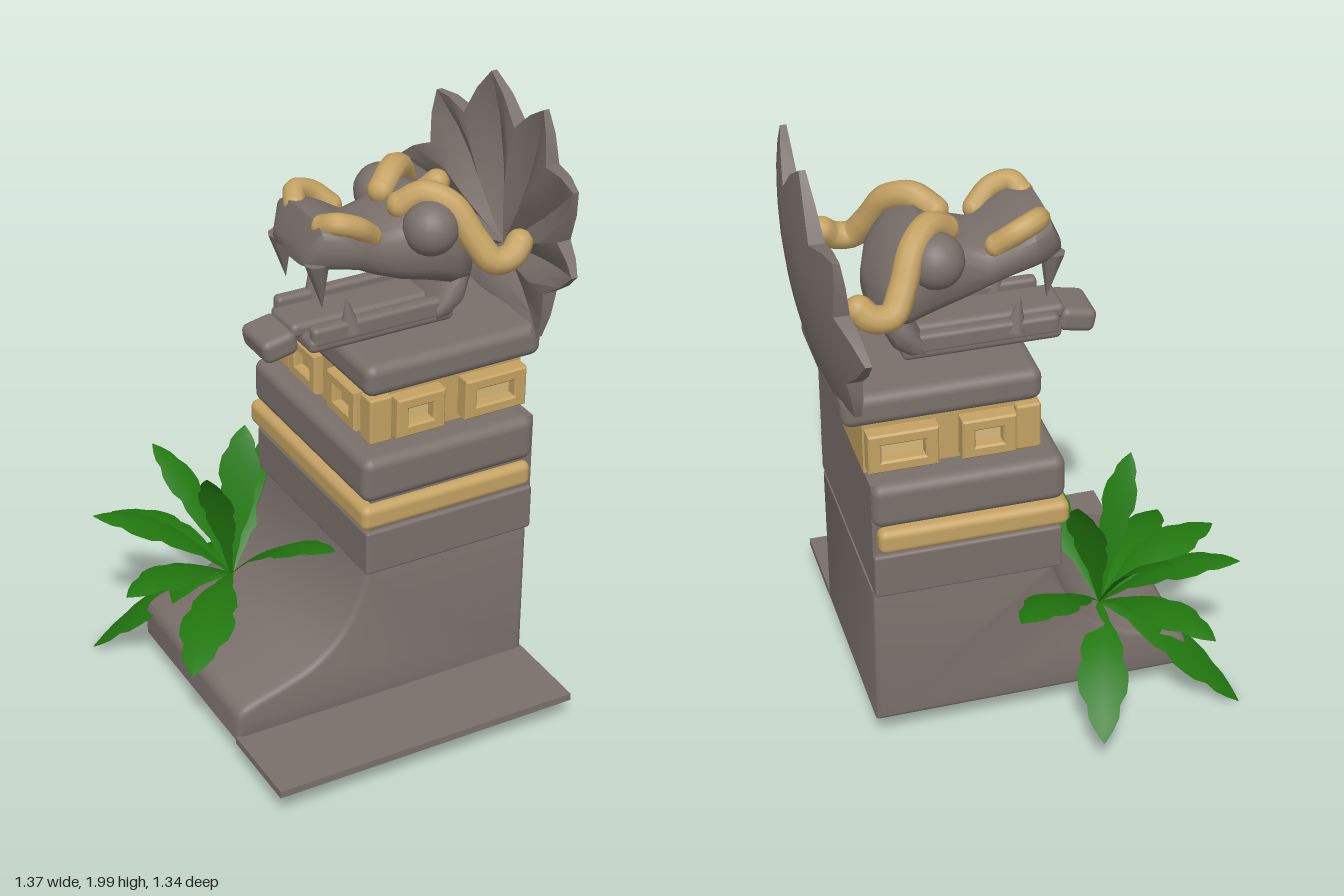
import * as THREE from 'three';
import { toCreasedNormals } from 'three/addons/utils/BufferGeometryUtils.js';
import { RoundedBoxGeometry } from 'three/addons/geometries/RoundedBoxGeometry.js';

const mat = (name, color) => {
  const m = new THREE.MeshStandardMaterial({ color, side: THREE.DoubleSide });
  m.name = name;
  return m;
};

export function createModel() {
  const stone = mat('stone', 0x7a706b);
  const gold = mat('gold', 0xc4a263);
  const paleGold = mat('paleGold', 0xd6b878);
  const green = mat('leafGreen', 0x22780f);
  const model = new THREE.Group();
  model.name = 'serpentStatue';
  const MID = 0.02; // z of the statue's own mirror plane

  const add = (name, geo, material, parent = model) => {
    const mesh = new THREE.Mesh(geo, material);
    mesh.name = name;
    parent.add(mesh);
    return mesh;
  };
  // Box given by its limits, with rounded edges when r > 0
  const block = (name, material, [x0, x1], [y0, y1], [z0, z1], r = 0, parent = model) => {
    const s = [x1 - x0, y1 - y0, z1 - z0];
    const geo = r ? new RoundedBoxGeometry(...s, 3, r) : new THREE.BoxGeometry(...s);
    const m = add(name, geo, material, parent);
    m.position.set((x0 + x1) / 2, (y0 + y1) / 2, (z0 + z1) / 2);
    return m;
  };
  const indexed = (pos, idx, crease) => {
    const g = new THREE.BufferGeometry();
    g.setAttribute('position', new THREE.Float32BufferAttribute(pos, 3));
    g.setIndex(idx);
    g.computeVertexNormals();
    return crease ? toCreasedNormals(g, crease) : g;
  };
  // Skin over rounded sections along x: [x, yBottom, yTop, halfWidth]
  const loft = (stations, n = 20) => {
    const a = stations[0], b = stations[stations.length - 1];
    const end = s => [s[0], (s[1] + s[2]) / 2, (s[1] + s[2]) / 2, 0];
    const all = [end(a), ...stations, end(b)], pos = [], idx = [];
    const soft = v => Math.sign(v) * Math.abs(v) ** 0.65;
    all.forEach(([x, y0, y1, w], i) => {
      for (let j = 0; j < n; j++) {
        const t = j / n * Math.PI * 2;
        pos.push(x, (y0 + y1) / 2 + soft(Math.sin(t)) * (y1 - y0) / 2, soft(Math.cos(t)) * w + MID);
        if (i === all.length - 1) continue;
        const p = i * n + j, q = i * n + (j + 1) % n;
        idx.push(p, p + n, q, q, p + n, q + n);
      }
    });
    return indexed(pos, idx, 0.9);
  };
  const path = pts => new THREE.CatmullRomCurve3(pts.map(p => new THREE.Vector3(...p)));

  // Sweeping foot of the pedestal
  const foot = new THREE.Shape();
  foot.moveTo(0.54, 0.11);
  foot.lineTo(0.54, 0.63);
  foot.lineTo(-0.05, 0.63);
  foot.bezierCurveTo(-0.07, 0.52, -0.12, 0.41, -0.2, 0.35);
  foot.bezierCurveTo(-0.28, 0.28, -0.4, 0.27, -0.48, 0.235);
  foot.quadraticCurveTo(-0.515, 0.22, -0.515, 0.18);
  foot.lineTo(-0.515, 0.11);
  const footGeo = new THREE.ExtrudeGeometry(foot, {
    depth: 0.67, curveSegments: 10, bevelThickness: 0.02, bevelSize: 0.02, bevelOffset: -0.02, bevelSegments: 2
  });
  footGeo.translate(0, 0, -0.32);
  add('pedestalFoot', toCreasedNormals(footGeo, 0.8), stone);
  block('groundSlab', stone, [-0.52, 0.54], [0.105, 0.13], [0.36, 0.67]);

  // Stacked tiers
  block('tierCore', stone, [-0.05, 0.535], [0.63, 1.03], [-0.34, 0.38]);
  block('lowerTier', stone, [-0.07, 0.535], [0.62, 0.775], [-0.36, 0.395], 0.01);
  block('goldBand', gold, [-0.09, 0.52], [0.79, 0.875], [-0.38, 0.41], 0.025);
  block('middleTier', stone, [-0.08, 0.535], [0.88, 1.035], [-0.37, 0.4], 0.035);
  block('goldTier', gold, [0, 0.537], [1.03, 1.21], [-0.26, 0.29]);
  block('capTier', stone, [-0.03, 0.6], [1.2, 1.31], [-0.28, 0.32], 0.035);

  // Raised window frames on three sides of the gold tier
  const windowFrame = (x, z, w, turn) => {
    const g = new THREE.Group();
    g.name = 'windowFrame';
    const s = new THREE.Shape();
    const rect = (p, a, b) => p.moveTo(-a, -b).lineTo(a, -b).lineTo(a, b).lineTo(-a, b).closePath();
    rect(s, w / 2, 0.062);
    const hole = new THREE.Path();
    rect(hole, w / 2 - 0.03, 0.035);
    s.holes.push(hole);
    add('frame', new THREE.ExtrudeGeometry(s, { depth: 0.045, bevelSize: 0.006, bevelThickness: 0.006, bevelSegments: 1 }), gold, g);
    block('panel', paleGold, [-w / 2 + 0.02, w / 2 - 0.02], [-0.045, 0.045], [0, 0.012], 0, g);
    g.position.set(x, 1.12, z);
    g.rotation.y = turn;
    model.add(g);
  };
  for (const x of [0.15, 0.42]) {
    windowFrame(x, 0.29, x < 0.3 ? 0.16 : 0.21, 0);
    windowFrame(x, -0.26, x < 0.3 ? 0.16 : 0.21, Math.PI);
  }
  for (const z of [-0.115, 0.145]) windowFrame(0.02, z, 0.17, -Math.PI / 2);
  for (const z of [[-0.29, -0.22], [0.25, 0.32]]) block('cornerPost', gold, [-0.02, 0.06], [1.04, 1.2], z, 0.01);

  // Head
  const head = new THREE.Group();
  head.name = 'head';
  model.add(head);
  add('upperHead', loft([
    [-0.14, 1.59, 1.65, 0.11], [-0.1, 1.575, 1.74, 0.16], [-0.04, 1.57, 1.735, 0.185], [0.03, 1.55, 1.7, 0.18],
    [0.1, 1.51, 1.66, 0.155], [0.19, 1.47, 1.69, 0.16], [0.28, 1.45, 1.745, 0.19], [0.35, 1.43, 1.71, 0.2],
    [0.41, 1.43, 1.63, 0.17], [0.45, 1.47, 1.56, 0.06]]), stone, head);
  add('jawHinge', loft([
    [0.3, 1.31, 1.385, 0.15], [0.345, 1.31, 1.46, 0.16], [0.39, 1.34, 1.52, 0.16], [0.43, 1.42, 1.52, 0.13]]), stone, head);
  block('lowerJaw', stone, [-0.14, 0.37], [1.31, 1.36], [MID - 0.14, MID + 0.14], 0.02, head);
  block('tongue', stone, [-0.17, 0.32], [1.34, 1.39], [MID - 0.075, MID + 0.075], 0.02, head);
  block('tongueTip', stone, [-0.27, -0.15], [1.285, 1.365], [MID - 0.085, MID + 0.085], 0.025, head).rotation.z = 0.2;

  for (const s of [-1, 1]) {
    const z = d => MID + s * d;
    block('jawRim', stone, [-0.13, 0.36], [1.33, 1.395], [z(0.12) - 0.022, z(0.12) + 0.022], 0.015, head);
    const tooth = add('lowerTooth', new THREE.ConeGeometry(0.035, 0.12, 8), stone, head);
    tooth.position.set(0, 1.415, z(0.12));
    tooth.rotation.z = 0.15;
    const fang = add('upperFang', new THREE.ConeGeometry(0.04, 0.16, 8), stone, head);
    fang.position.set(-0.1, 1.535, z(0.12));
    fang.rotation.z = Math.PI + 0.12;
    const eye = add('eye', new THREE.SphereGeometry(0.088, 20, 14), stone, head);
    eye.position.set(0.265, 1.66, z(0.155));
    // Gold nostril ridge and curling brow, tubes with rounded ends
    const ridge = (name, pts, r) => {
      add(name, new THREE.TubeGeometry(path(pts), 28, r, 10), gold, head);
      for (const p of [pts[0], pts[pts.length - 1]])
        add(name + 'End', new THREE.SphereGeometry(r, 10, 8), gold, head).position.set(...p);
    };
    ridge('nostrilRidge', [[-0.075, 1.715, z(0.09)], [-0.05, 1.735, z(0.135)], [0.01, 1.715, z(0.15)], [0.07, 1.665, z(0.125)]], 0.036);
    ridge('brow', [[0.21, 1.71, z(0.06)], [0.27, 1.75, z(0.1)], [0.335, 1.72, z(0.16)], [0.385, 1.62, z(0.22)],
      [0.43, 1.555, z(0.26)], [0.49, 1.56, z(0.265)], [0.525, 1.59, z(0.25)]], 0.044);
  }

  // Feather fan: valleys and tips alternate round the outline as [z, y]
  const rim = [[0, 1.28], [0.35, 1.29], [0.37, 1.45], [0.52, 1.57], [0.41, 1.64], [0.46, 1.82], [0.28, 1.83], [0.22, 1.99],
    [0.06, 1.87], [-0.1, 2], [-0.22, 1.82], [-0.38, 1.84], [-0.37, 1.66], [-0.52, 1.57], [-0.37, 1.43], [-0.34, 1.29]];
  const hub = [0.01, 1.45], outline = [];
  rim.forEach(([z, y], i) => {
    const [z2, y2] = rim[(i + 1) % rim.length];
    outline.push([z, y, i % 2]);
    outline.push([hub[0] + ((z + z2) / 2 - hub[0]) * 1.03, hub[1] + ((y + y2) / 2 - hub[1]) * 1.03, 0.5]);
  });
  const pos = [], idx = [], n = outline.length, rings = 4;
  for (const front of [0, 1]) {
    for (let k = 0; k <= rings; k++) {
      for (const [oz, oy, tip] of outline) {
        const f = k / rings;
        const z = hub[0] + (oz - hub[0]) * f, y = hub[1] + (oy - hub[1]) * f;
        const bowl = 0.68 - 0.36 * z * z - 0.33 * (y - 1.65) ** 2 + 0.06 * (y - 1.65);
        pos.push(bowl - front * (0.02 + 0.05 * (1 - tip) * Math.sin(f * Math.PI * 0.8)), y, z);
      }
    }
  }
  const quad = (a, b, c, d) => idx.push(a, b, c, a, c, d);
  const sheet = (rings + 1) * n;
  for (let j = 0; j < n; j++) {
    const j2 = (j + 1) % n;
    for (let k = 0; k < rings; k++) {
      const a = k * n + j, b = k * n + j2;
      quad(a, b, b + n, a + n);
      quad(sheet + a, sheet + a + n, sheet + b + n, sheet + b);
    }
    const e = rings * n;
    quad(e + j, e + j2, sheet + e + j2, sheet + e + j);
  }
  add('featherFan', indexed(pos, idx, 0.6), stone);

  // Fern: arched, folded leaves with notched edges, by tip position
  const plant = new THREE.Group();
  plant.name = 'plant';
  model.add(plant);
  const root = new THREE.Vector3(-0.25, 0.33, -0.21);
  const leaf = (x, y, z, width) => {
    const tip = new THREE.Vector3(x, y, z);
    const mid = root.clone().lerp(tip, 0.5);
    mid.y += 0.13;
    const curve = new THREE.QuadraticBezierCurve3(root, mid, tip);
    const side = new THREE.Vector3(-(z - root.z), 0, x - root.x).normalize();
    const p = [], ix = [], N = 14;
    for (let i = 0; i <= N; i++) {
      const t = i / N, c = curve.getPoint(t);
      const w = width * (0.1 + Math.sin(Math.PI * t ** 1.35)) * (i % 4 === 3 ? 0.82 : 1) * (i === N ? 0.3 : 1);
      for (const s of [-1, 0, 1]) p.push(c.x + side.x * w * s, c.y - Math.abs(s) * w * 0.25, c.z + side.z * w * s);
      if (i < N) for (const o of [0, 1]) {
        const a = i * 3 + o;
        ix.push(a, a + 1, a + 4, a, a + 4, a + 3);
      }
    }
    add('leaf', indexed(p, ix), green, plant);
  };
  [[-0.12, 0.13, -0.67, 0.075], [0.13, 0.6, -0.58, 0.075], [-0.5, 0.42, -0.62, 0.07], [-0.66, 0.01, -0.46, 0.08],
    [-0.65, 0.56, -0.42, 0.065], [-0.69, 0.46, -0.07, 0.075], [-0.61, 0.32, 0.24, 0.08], [-0.1, 0.63, 0.24, 0.065],
    [-0.37, 0.69, -0.55, 0.055], [-0.13, 0.81, -0.33, 0.065], [-0.39, 0.81, -0.08, 0.055]].forEach(l => leaf(...l));

  return model;
}
